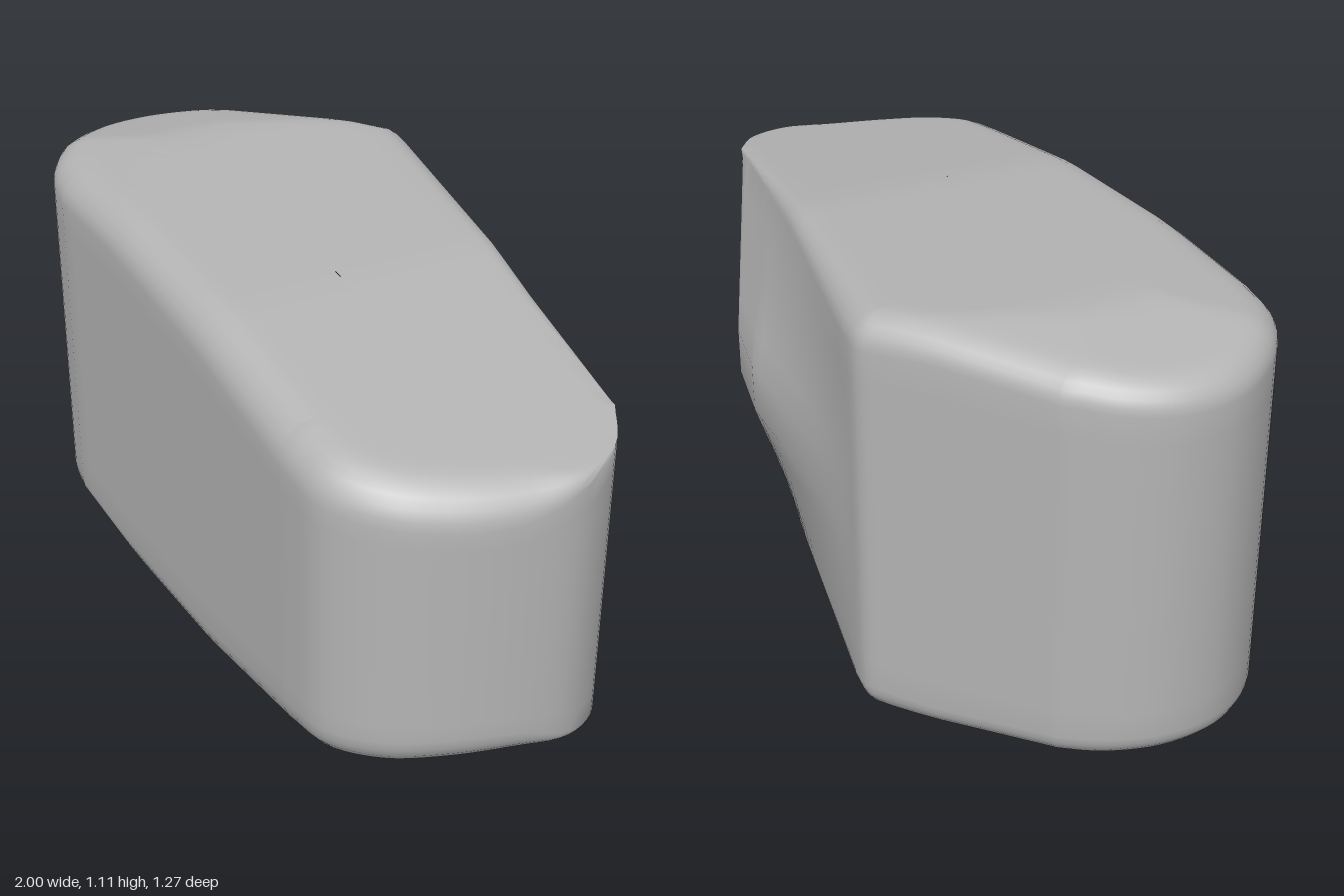
import * as THREE from 'three';
import { toCreasedNormals } from 'three/addons/utils/BufferGeometryUtils.js';

const HEIGHT = 1.11;
const stone = new THREE.MeshStandardMaterial({ color: 0xb4b4b4 });
stone.name = 'stone grey';

// Height of the faceted top: the lowest of several gently sloping planes
function topHeight(x, z) {
  const u = 0.95 * x + 0.31 * z;
  return Math.min(
    HEIGHT,
    1.073 - 0.06 * u,                                // long main facet
    1.065 - 0.159 * (u - 0.16),                      // sloping end
    1.11 + 0.2 * (u + 0.7),                          // blunt end
    1.11 - 0.2 * (-0.707 * (x + z) - 0.658),         // back corner
    1.105 - 0.15 * (-0.52 * x + 0.85 * z - 0.339)    // front shoulder
  );
}

// Outline columns: top edge (x, z), edge radius r, and mid-height point (mx, mz)
function outline() {
  const cols = [];
  const curve = (pts, n) => {
    const c = new THREE.CatmullRomCurve3(pts.map(([x, z, r]) => new THREE.Vector3(x, r, z)), false, 'centripetal');
    for (let i = 0; i < n; i++) {
      const p = c.getPoint(i / n);
      cols.push({ x: p.x, z: p.z, r: Math.max(0, p.y), mx: p.x, mz: p.z });
    }
  };
  const span = (a, b, n) => {
    for (let i = 0; i < n; i++) {
      const [x, z, r, mx, mz] = a.map((v, k) => v + (b[k] - v) * i / n);
      cols.push({ x, z, r, mx, mz });
    }
  };
  // rounded narrow end
  curve([[0.89, -0.03, 0], [0.97, 0.07, 0], [1, 0.2, 0.03], [0.96, 0.33, 0.09], [0.87, 0.47, 0.11],
    [0.75, 0.58, 0.11], [0.6, 0.63, 0.11], [0.45, 0.6, 0.11]], 32);
  // straight front wall
  curve([[0.45, 0.6, 0.11], [-0.75, 0.21, 0.09]], 24);
  // rounded wide end
  curve([[-0.75, 0.21, 0.09], [-0.87, 0.14, 0.08], [-0.96, 0.02, 0.08], [-1, -0.13, 0.08],
    [-0.97, -0.27, 0.08], [-0.89, -0.38, 0.08], [-0.78, -0.46, 0.08]], 28);
  // short back wall and its corner
  curve([[-0.78, -0.46, 0.08], [-0.37, -0.617, 0.08]], 8);
  curve([[-0.37, -0.617, 0.08], [-0.31, -0.635, 0.08], [-0.24, -0.612, 0.08]], 6);
  // long back wall, bulging at mid height
  const corner = [-0.24, -0.612, 0.08, -0.24, -0.612];
  const bulgeA = [0.5, -0.227, 0.04, 0.37, -0.42];
  const bulgeB = [0.87, -0.04, 0.005, 0.56, -0.32];
  span(corner, bulgeA, 14);
  span(bulgeA, bulgeB, 10);
  span(bulgeB, [0.89, -0.03, 0, 0.89, -0.03], 6);
  return cols;
}

// Points of one column, from mid height up over the edge to the spine of the top
function upperColumn(c, prev, next) {
  const d = new THREE.Vector2(next.x - prev.x, next.z - prev.z).normalize();
  const nx = -d.y, nz = d.x;                         // inward direction
  const pts = [];
  const edgeY = topHeight(c.x + nx * c.r, c.z + nz * c.r) - c.r;
  for (let i = 0; i <= 5; i++) {                     // wall
    const t = i / 5;
    pts.push([c.mx + (c.x - c.mx) * t, 0.62 + (edgeY - 0.62) * t, c.mz + (c.z - c.mz) * t]);
  }
  let px = c.x, pz = c.z;
  for (let i = 1; i <= 6; i++) {                     // rounded edge
    const a = i / 6 * Math.PI / 2, inset = c.r * (1 - Math.cos(a));
    px = c.x + nx * inset;
    pz = c.z + nz * inset;
    pts.push([px, edgeY + c.r * Math.sin(a) + (topHeight(px, pz) - edgeY - c.r) * i / 6, pz]);
  }
  const ax = -0.5, az = -0.12, dx = 1.08, dz = 0.35; // spine
  const s = THREE.MathUtils.clamp(((px - ax) * dx + (pz - az) * dz) / (dx * dx + dz * dz), 0, 1);
  for (let i = 1; i <= 10; i++) {                    // top facets
    const t = i / 10;
    const x = px + (ax + dx * s - px) * t, z = pz + (az + dz * s - pz) * t;
    pts.push([x, topHeight(x, z), z]);
  }
  return pts;
}

function bodyGeometry() {
  const cols = outline(), n = cols.length;
  const positions = [], index = [];
  let rows = 0;
  cols.forEach((c, i) => {
    const up = upperColumn(c, cols[(i + n - 1) % n], cols[(i + 1) % n]);
    const down = up.map(([x, y, z]) => [x, HEIGHT - y, z]).reverse();
    const column = [...down, ...up];
    rows = column.length;
    positions.push(...column.flat());
  });
  for (let i = 0; i < n; i++) {
    for (let j = 0; j < rows - 1; j++) {
      const a = i * rows + j, b = ((i + 1) % n) * rows + j;
      index.push(a, a + 1, b, b, a + 1, b + 1);
    }
  }
  const g = new THREE.BufferGeometry();
  g.setAttribute('position', new THREE.Float32BufferAttribute(positions, 3));
  g.setIndex(index);
  return toCreasedNormals(g, 0.6);
}

export function createModel() {
  const group = new THREE.Group();
  group.name = 'boulder';
  const body = new THREE.Mesh(bodyGeometry(), stone);
  body.name = 'stoneBody';
  group.add(body);
  return group;
}
